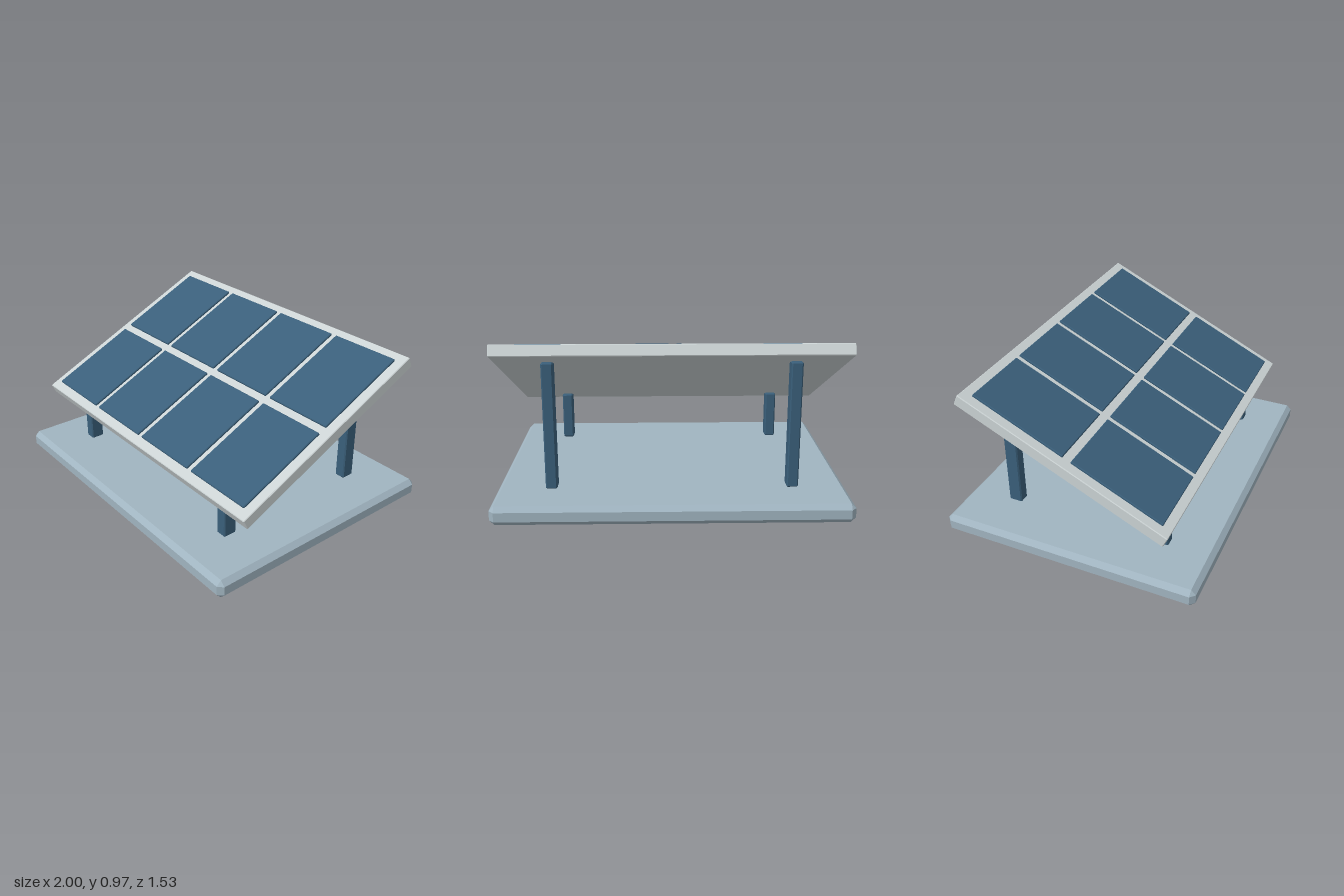
import * as THREE from 'three';
import { ConvexGeometry } from 'three/addons/geometries/ConvexGeometry.js';

const material = (name, color) => {
  const m = new THREE.MeshStandardMaterial({ color });
  m.name = name;
  return m;
};

// Box with all edges and corners cut flat by c
function chamferBox(w, h, d, c) {
  const points = [];
  for (const sx of [-1, 1]) for (const sy of [-1, 1]) for (const sz of [-1, 1]) {
    const x = w / 2, y = h / 2, z = d / 2;
    points.push(
      new THREE.Vector3(sx * x, sy * (y - c), sz * (z - c)),
      new THREE.Vector3(sx * (x - c), sy * y, sz * (z - c)),
      new THREE.Vector3(sx * (x - c), sy * (y - c), sz * z)
    );
  }
  return new ConvexGeometry(points);
}

export function createModel() {
  const slateGrey = material('slateGrey', 0xa0b4c0);
  const lightGrey = material('lightGrey', 0xcbd3d4);
  const deepBlue = material('deepBlue', 0x3a5f7a);

  const model = new THREE.Group();
  model.name = 'solarPanel';
  const add = (parent, name, geometry, mat, x, y, z) => {
    const mesh = new THREE.Mesh(geometry, mat);
    mesh.name = name;
    mesh.position.set(x, y, z);
    parent.add(mesh);
  };

  // Base slab
  add(model, 'base', chamferBox(2, 0.11, 1.535, 0.028), slateGrey, 0, 0.055, 0);

  // Short front legs and tall back legs
  const bottom = 0.112;
  for (const [name, top, z] of [['FrontLeg', 0.41, 0.468], ['BackLeg', 0.845, -0.466]]) {
    const leg = chamferBox(0.066, top - bottom, 0.082, 0.007);
    for (const [side, x] of [['left', 0.687], ['right', -0.687]]) {
      add(model, side + name, leg, deepBlue, x, (top + bottom) / 2, z);
    }
  }

  // Tilted panel: frame with two rows of four cells
  const panel = new THREE.Group();
  panel.name = 'panel';
  panel.position.y = 0.66;
  panel.rotation.x = THREE.MathUtils.degToRad(25);
  model.add(panel);
  add(panel, 'frame', chamferBox(1.966, 0.067, 1.308, 0.004), lightGrey, 0, 0, 0);

  const cell = chamferBox(0.437, 0.016, 0.572, 0.004);
  for (let row = 0; row < 2; row++) {
    for (let col = 0; col < 4; col++) {
      add(panel, `cell${row * 4 + col + 1}`, cell, deepBlue, (col - 1.5) * 0.472, 0.04, (row - 0.5) * 0.622);
    }
  }
  return model;
}
